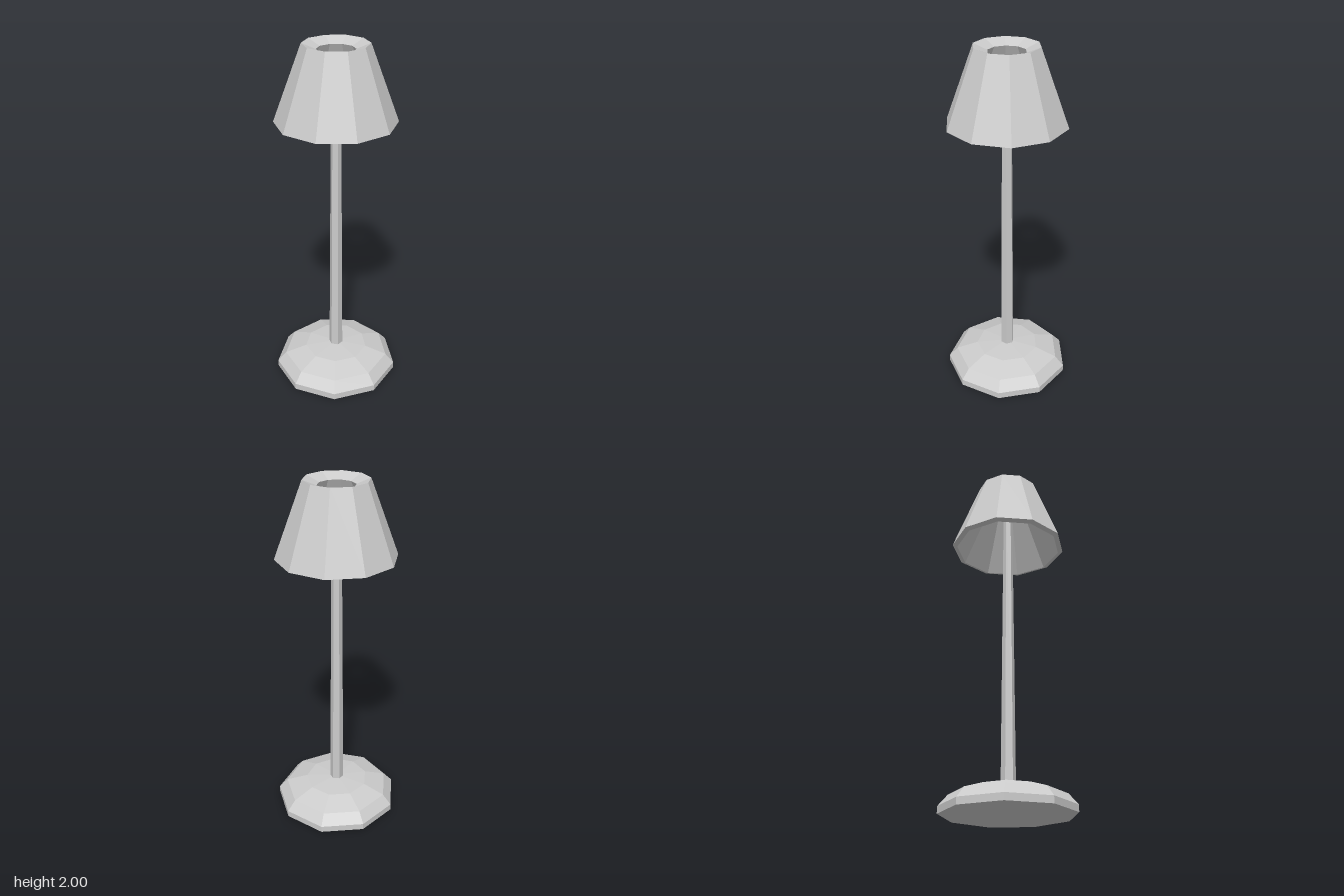
import * as THREE from 'three';

const material = new THREE.MeshStandardMaterial({ color: 0xcccccc, flatShading: true });
const AXIS_Z = 0.01; // shared axis of all the turned parts

// Faceted turned part from a [radius, height] profile, traced upwards on the outside
function turned(name, profile, sides, turn = 0) {
  const points = profile.map(([r, y]) => new THREE.Vector2(r, y));
  const mesh = new THREE.Mesh(new THREE.LatheGeometry(points, sides), material);
  mesh.name = name;
  mesh.rotation.y = turn;
  mesh.position.z = AXIS_Z;
  return mesh;
}

export function createModel() {
  const lamp = new THREE.Group();
  lamp.name = 'tableLamp';

  // Nine-sided domed foot with a corner at the back
  lamp.add(turned('base', [
    [0, 0], [0.362, 0], [0.362, 0.038], [0.311, 0.096], [0.185, 0.138], [0.04, 0.15], [0, 0.152],
  ], 9, Math.PI));

  // Slim six-sided pole, tapering into the shade
  lamp.add(turned('pole', [
    [0, 0.12], [0.0405, 0.12], [0.0265, 1.84], [0, 1.845],
  ], 6));

  // Ten-sided shade, a closed wall that thickens towards the funnelled top opening
  lamp.add(turned('shade', [
    [0.332, 1.586], [0.177, 2], [0.102, 1.97], [0.304, 1.576], [0.332, 1.586],
  ], 10));

  return lamp;
}
